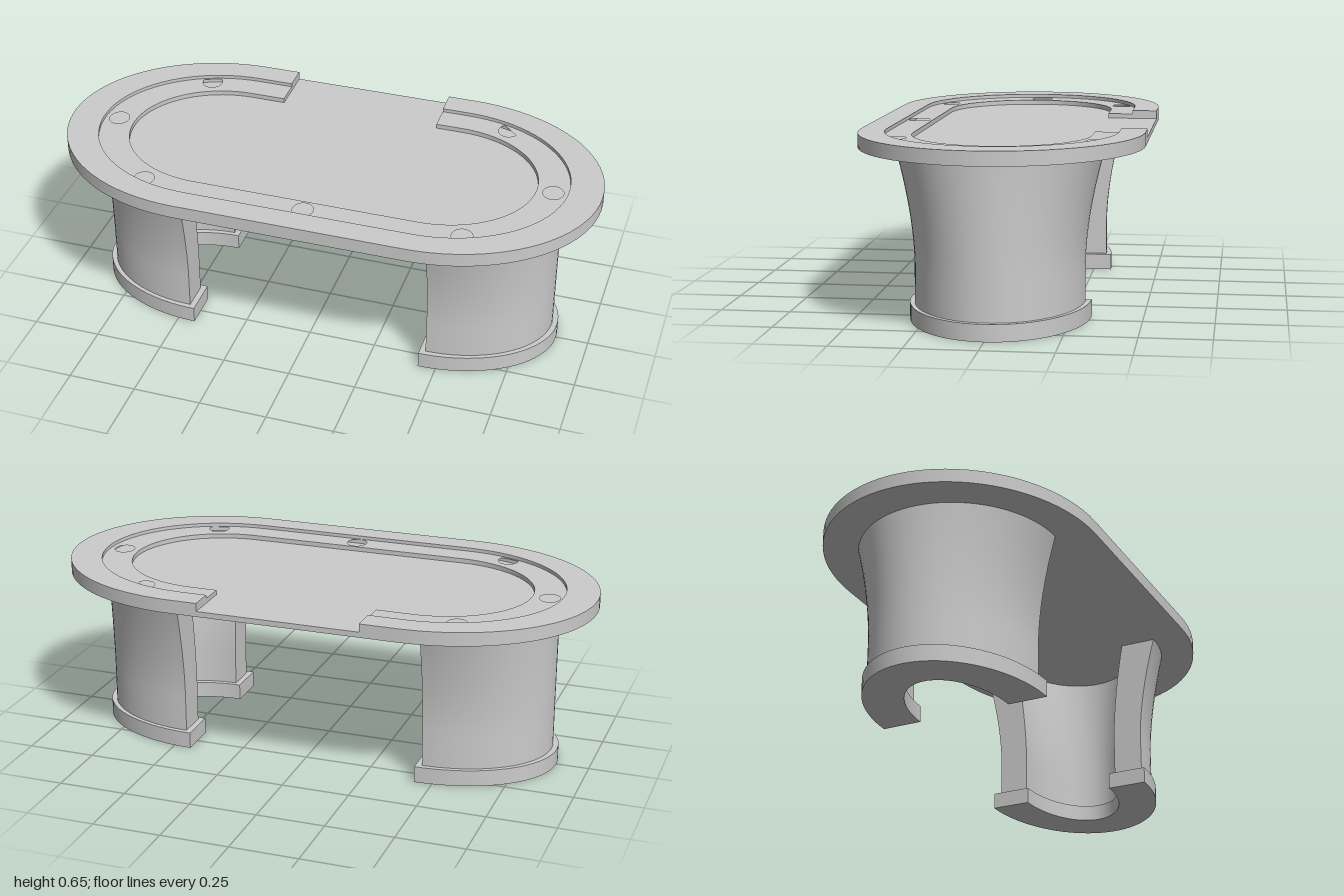
import * as THREE from 'three';
import { toCreasedNormals } from 'three/addons/utils/BufferGeometryUtils.js';

const material = new THREE.MeshStandardMaterial({ color: 0xcccccc });
const CX = 0.415;               // centre of the rounded table ends
const GAP = [-0.285, 0.315];    // dealer cut-out along the back edge

// Half ellipse in plan, from -z round the +x side to +z
function halfEllipse(cx, rx, rz, n = 40) {
  const pts = [];
  for (let i = 0; i <= n; i++) {
    const a = -Math.PI / 2 + (Math.PI * i) / n;
    pts.push(new THREE.Vector2(cx + rx * Math.cos(a), rz * Math.sin(a)));
  }
  return pts;
}

// Oval with straight sides, reaching +-x and +-z
function oval(x, z) {
  const right = halfEllipse(CX, x - CX, z);
  const left = right.map(p => new THREE.Vector2(-p.x, -p.y));
  return [...right, ...left];
}

// The same oval, left open at the dealer cut-out
function openOval(x, z) {
  return [new THREE.Vector2(GAP[1], -z), ...oval(x, z), new THREE.Vector2(GAP[0], -z)];
}

// Closed band between an outer and an inner open path
const band = (outer, inner) => [...outer, ...inner.slice().reverse()];

// Extrude a plan outline (x, z) upwards from y0 to y1
function extrudePlan(outline, y0, y1, holes = [], steps = 1) {
  const flip = pts => pts.map(p => new THREE.Vector2(p.x, -p.y));
  const shape = new THREE.Shape(flip(outline));
  shape.holes = holes.map(h => new THREE.Path(flip(h)));
  const g = new THREE.ExtrudeGeometry(shape, { depth: y1 - y0, steps, bevelEnabled: false });
  g.rotateX(-Math.PI / 2);
  g.translate(0, y0, 0);
  return g;
}

function addMesh(parent, name, geometry) {
  const mesh = new THREE.Mesh(toCreasedNormals(geometry, 0.6), material);
  mesh.name = name;
  parent.add(mesh);
}

// C-shaped leg open towards the table centre, flaring in z near the top
function createLeg(name) {
  const leg = new THREE.Group();
  leg.name = name;

  const foot = band(halfEllipse(0.435, 0.445, 0.318), halfEllipse(0.435, 0.292, 0.172));
  addMesh(leg, 'foot', extrudePlan(foot, 0, 0.06));

  const wall = band(halfEllipse(0.457, 0.403, 0.298), halfEllipse(0.457, 0.29, 0.188));
  const body = extrudePlan(wall, 0.06, 0.6, [], 18);
  const pos = body.attributes.position;
  for (let i = 0; i < pos.count; i++) {
    const t = Math.max(0, (pos.getY(i) - 0.2) / 0.4);
    pos.setZ(i, pos.getZ(i) * (1 + 0.225 * Math.pow(t, 1.7)));
  }
  addMesh(leg, 'legWall', body);
  return leg;
}

export function createModel() {
  const model = new THREE.Group();
  model.name = 'cardTable';

  // Table slab and playing surface, full width at the cut-out
  addMesh(model, 'tableSlab', extrudePlan(oval(1, 0.5), 0.6, 0.62));

  // Raised outer rail
  addMesh(model, 'rail', extrudePlan(band(openOval(1, 0.5), openOval(0.88, 0.408)), 0.62, 0.65));

  // Lower track with cup recesses
  const cups = [[-0.828, 0], [0.825, 0], [0.015, 0.365]];
  for (const x of [-0.587, 0.582]) for (const z of [-0.35, 0.35]) cups.push([x, z]);
  const holes = cups.map(([x, z]) =>
    new THREE.EllipseCurve(x, z, 0.037, 0.037 * 1.1, 0, Math.PI * 2).getPoints(32).slice(0, -1));
  const track = band(openOval(0.88, 0.408), openOval(0.765, 0.315));
  addMesh(model, 'track', extrudePlan(track, 0.62, 0.637, holes));

  // Legs under both ends
  const leftLeg = createLeg('leftLeg');
  const rightLeg = createLeg('rightLeg');
  rightLeg.rotation.y = Math.PI;
  model.add(leftLeg, rightLeg);

  return model;
}
